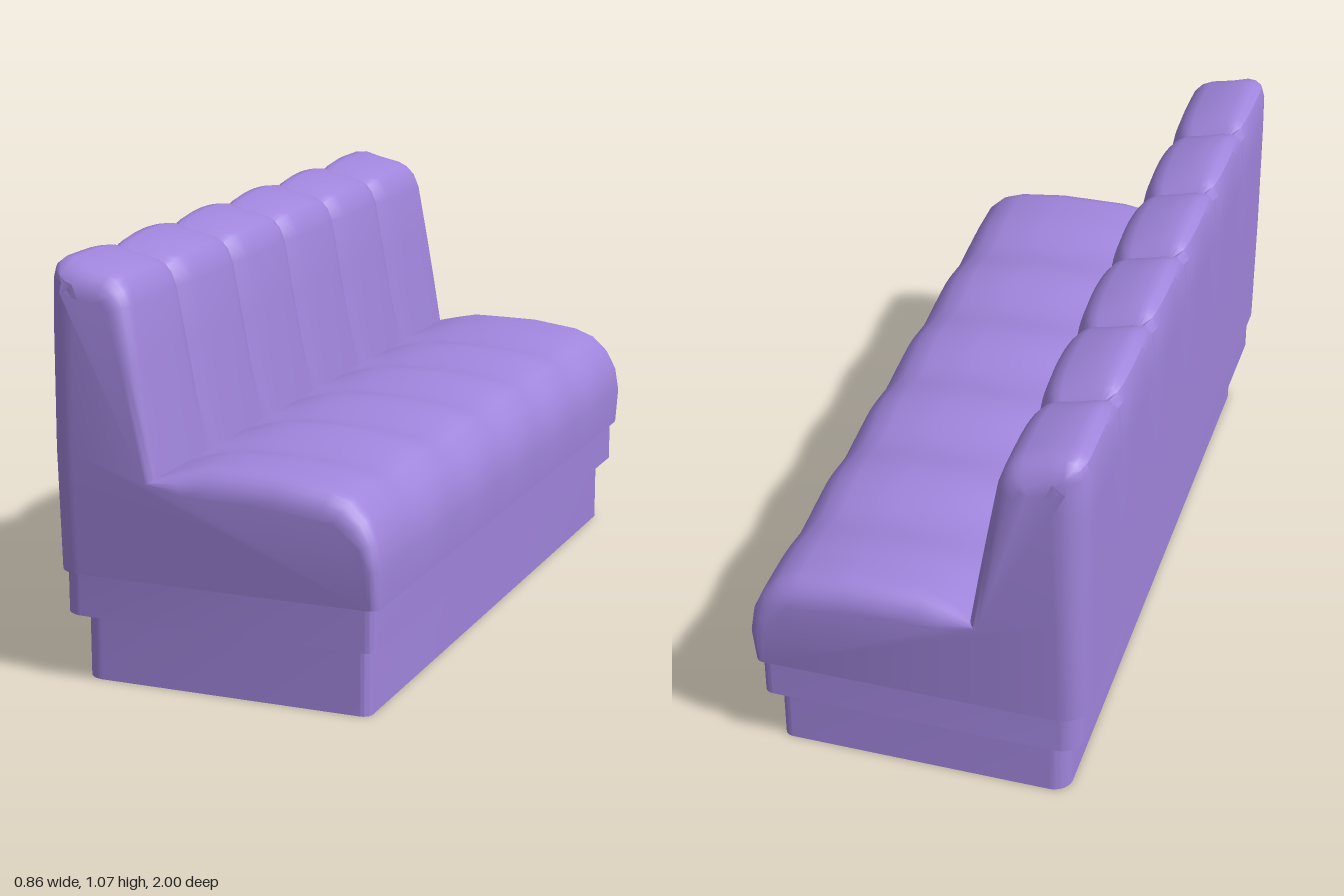
import * as THREE from 'three';
import { toCreasedNormals } from 'three/addons/utils/BufferGeometryUtils.js';

const material = new THREE.MeshStandardMaterial({ color: 0xa085dc, side: THREE.DoubleSide });

// Skin a list of equally long rows of points; optionally close the first and last row.
function skin(rows, capEnds, crease) {
  const n = rows[0].length;
  const index = [];
  for (let j = 0; j < rows.length - 1; j++) {
    for (let i = 0; i < n - 1; i++) {
      const a = j * n + i, b = a + n;
      index.push(a, b, a + 1, a + 1, b, b + 1);
    }
  }
  if (capEnds) {
    for (const [row, sign] of [[0, -1], [rows.length - 1, 1]]) {
      const flat = rows[row].map((p) => new THREE.Vector2(p.x, p.y));
      for (const [a, b, c] of THREE.ShapeUtils.triangulateShape(flat, [])) {
        const area = THREE.ShapeUtils.area([flat[a], flat[b], flat[c]]) * sign;
        const o = row * n;
        if (area > 0) index.push(o + a, o + b, o + c);
        else index.push(o + a, o + c, o + b);
      }
    }
  }
  const g = new THREE.BufferGeometry().setFromPoints(rows.flat());
  g.setIndex(index);
  return toCreasedNormals(g, crease);
}

// Open-ended plinth wall with rounded vertical corners.
function plinth(name, x0, x1, z, y0, y1, rBack, rFront) {
  const s = new THREE.Shape();
  s.moveTo(x1, 0);
  s.lineTo(x1, z - rFront);
  s.absarc(x1 - rFront, z - rFront, rFront, 0, Math.PI / 2);
  s.absarc(x0 + rBack, z - rBack, rBack, Math.PI / 2, Math.PI);
  s.absarc(x0 + rBack, -z + rBack, rBack, Math.PI, Math.PI * 1.5);
  s.absarc(x1 - rFront, -z + rFront, rFront, Math.PI * 1.5, Math.PI * 2);
  s.lineTo(x1, 0);
  const outline = s.getPoints(6);
  const rows = [y0, y1].map((y) => outline.map((p) => new THREE.Vector3(p.x, y, p.y)));
  const mesh = new THREE.Mesh(skin(rows, false, 0.7), material);
  mesh.name = name;
  return mesh;
}

// Side profile: x, y, end rounding radius, channel depth on the back, channel depth on the seat
const PROFILE = [
  [-0.433, 0.287, 0.07, 0, 0], [-0.433, 0.6, 0.07, 0, 0], [-0.433, 0.9, 0.075, 0, 0],
  [-0.432, 1.02, 0.08, 0.01, 0], [-0.423, 1.052, 0.08, 0.025, 0], [-0.403, 1.068, 0.08, 0.035, 0],
  [-0.375, 1.071, 0.08, 0.038, 0], [-0.33, 1.058, 0.08, 0.038, 0], [-0.27, 1.044, 0.075, 0.036, 0],
  [-0.245, 1.03, 0.07, 0.034, 0], [-0.225, 1.005, 0.06, 0.032, 0], [-0.212, 0.965, 0.05, 0.028, 0],
  [-0.19, 0.83, 0.04, 0.024, 0], [-0.168, 0.69, 0.03, 0.02, 0], [-0.147, 0.552, 0.025, 0.012, 0],
  [-0.09, 0.57, 0.05, 0, 0.015], [-0.02, 0.587, 0.065, 0, 0.022], [0.08, 0.588, 0.07, 0, 0.022],
  [0.17, 0.587, 0.07, 0, 0.022], [0.3, 0.57, 0.07, 0, 0.02], [0.355, 0.548, 0.065, 0, 0.016],
  [0.397, 0.505, 0.055, 0, 0.01], [0.421, 0.45, 0.04, 0, 0.005], [0.43, 0.385, 0.03, 0, 0],
  [0.425, 0.287, 0.025, 0, 0],
];

function upholstery() {
  const last = PROFILE.length - 1;
  const inward = PROFILE.map((p, i) => {
    const a = PROFILE[Math.max(i - 1, 0)], b = PROFILE[Math.min(i + 1, last)];
    const n = new THREE.Vector2(b[1] - a[1], a[0] - b[0]).normalize();
    return i === 0 || i === last ? new THREE.Vector2(Math.sign(n.x), 0) : n;
  });

  // One section: z along the bench, angle a > 0 turns the rounded end
  const section = (z, a) => {
    const side = Math.sign(z);
    return PROFILE.map(([x, y, r, backDepth, seatDepth], i) => {
      const zi = a === null ? z : side * (1 - r * (1 - Math.sin(a)));
      // t runs 0 at a channel's middle to 1 at its seam; the outer ends have no seam
      let t = Math.abs((((Math.abs(zi) * 3) % 1) - 0.5) * 2);
      if (Math.abs(zi) > 0.833) t = 0;
      const depth = backDepth * (0.5 * t ** 2 + 0.5 * t ** 8)
        + seatDepth * (0.5 - 0.5 * Math.cos(t * Math.PI));
      const d = depth + (a === null ? 0 : r * (1 - Math.cos(a)));
      const taper = 1 - 0.015 * THREE.MathUtils.clamp((0.4 - y) / 0.113, 0, 1);
      return new THREE.Vector3(x + inward[i].x * d, y + inward[i].y * d, zi * taper);
    });
  };

  const rows = [];
  const steps = 6;
  for (let k = steps; k >= 0; k--) rows.push(section(-1, (k / steps) * Math.PI / 2));
  for (let k = -32; k <= 32; k++) rows.push(section(k / 36, null));
  for (let k = 0; k <= steps; k++) rows.push(section(1, (k / steps) * Math.PI / 2));
  const mesh = new THREE.Mesh(skin(rows, true, 0.6), material);
  mesh.name = 'channelledSeatAndBackrest';
  return mesh;
}

export function createModel() {
  const bench = new THREE.Group();
  bench.name = 'boothBench';
  bench.add(
    plinth('base', -0.382, 0.383, 0.93, 0, 0.173, 0.05, 0.025),
    plinth('seatFrame', -0.421, 0.412, 0.972, 0.176, 0.284, 0.06, 0.025),
    upholstery(),
  );
  return bench;
}
